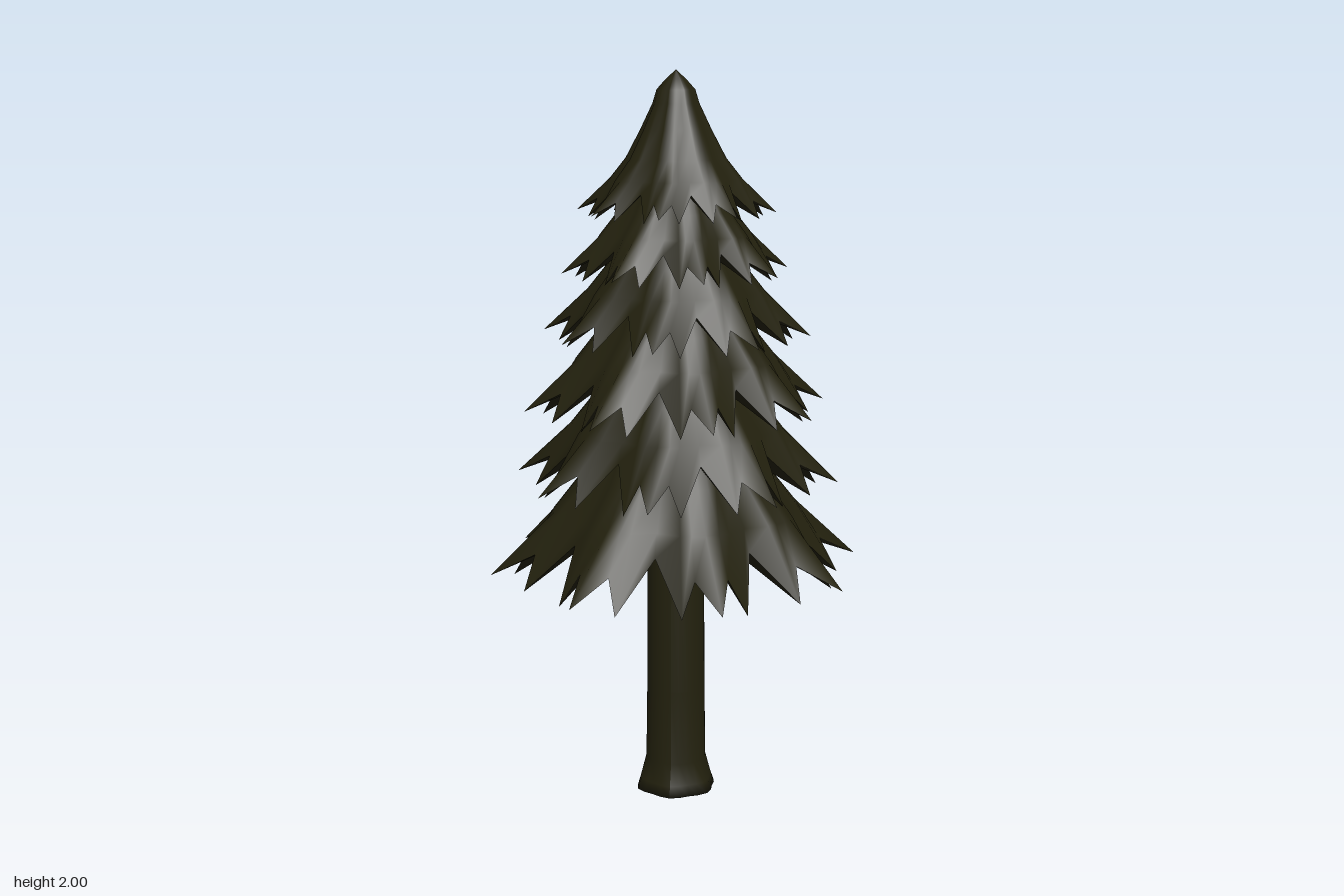
import * as THREE from 'three';

const darkOlive = new THREE.MeshStandardMaterial({ color: 0x23210e, side: THREE.DoubleSide });
darkOlive.name = 'darkOlive';

// Skirt slope as [radius, height above tip], both relative to the skirt radius
const SLOPE = [[0.2, 1.15], [0.35, 0.8], [0.5, 0.52], [0.66, 0.32]];
const CAP = [[0, 1.37], [0.1, 1.28], [0.19, 1.18], [0.23, 1.05], [0.35, 0.8], [0.5, 0.52], [0.66, 0.32]];
// Nearly flat underside, from behind the hem to the trunk
const UNDERSIDE = [[0.45, 0.21], [0.14, 0.24]];

// One eighth of the ragged hem: [degrees, radius, height, inward dip of the slope]
const HEM = [
  [0, 1, 0, 1],
  [6.25, 0.78, 0.12, 0.99],
  [11.25, 0.865, -0.05, 0.98],
  [22.5, 0.64, 0.2, 0.9],
  [33.75, 0.865, -0.05, 0.98],
  [38.75, 0.78, 0.12, 0.99],
];

// Smooth surface over closed rings of points
function ringSurface(rings) {
  const n = rings[0].length, index = [];
  for (let i = 0; i < rings.length - 1; i++) {
    for (let j = 0; j < n; j++) {
      const a = i * n + j, b = i * n + (j + 1) % n;
      index.push(a, b, a + n, b, b + n, a + n);
    }
  }
  const g = new THREE.BufferGeometry();
  g.setAttribute('position', new THREE.Float32BufferAttribute(rings.flat(2), 3));
  g.setIndex(index);
  g.computeVertexNormals();
  return g;
}

// One ring of a skirt: a slope row, or the ragged hem when row is null
function skirtRing(R, tipY, turn, row) {
  const ring = [];
  for (let k = 0; k < 8; k++) {
    for (const [deg, hr, hy, dip] of HEM) {
      const a = THREE.MathUtils.degToRad(-(k * 45 + deg + turn));
      const r = R * (row ? row[0] * THREE.MathUtils.lerp(1, dip, Math.min(1, row[0] / 0.5)) : hr);
      ring.push([r * Math.cos(a), tipY + R * (row ? row[1] : hy), r * Math.sin(a)]);
    }
  }
  return ring;
}

export function createModel() {
  const tree = new THREE.Group();
  tree.name = 'pineTree';
  const add = (geometry, name) => {
    const mesh = new THREE.Mesh(geometry, darkOlive);
    mesh.name = name;
    tree.add(mesh);
  };

  // Trunk with a flared, lumpy foot
  const profile = [[0, 0], [0.109, 0], [0.1, 0.03], [0.084, 0.09], [0.081, 0.3], [0.079, 0.65], [0.076, 0.8]]
    .map(([r, y]) => new THREE.Vector2(r, y));
  const trunk = new THREE.LatheGeometry(profile, 24);
  const p = trunk.attributes.position;
  for (let i = 0; i < p.count; i++) {
    const x = p.getX(i), z = p.getZ(i);
    const lump = 1 - 0.05 * Math.cos(6 * Math.atan2(z, x)) * Math.max(0, 1 - p.getY(i) / 0.1);
    p.setX(i, x * lump);
    p.setZ(i, z * lump);
  }
  trunk.computeVertexNormals();
  add(trunk, 'trunk');

  // Skirts from bottom to top, alternately turned by half a spike group
  const skirts = [[0.52, 0.65], [0.447, 0.9], [0.42, 1.1], [0.368, 1.3], [0.314, 1.47], [0.272, 1.63]];
  skirts.forEach(([R, y], i) => {
    const top = i === skirts.length - 1;
    const ring = (row) => skirtRing(R, y, i % 2 ? 0 : 22.5, row);
    const name = top ? 'treetop' : `branchSkirt${i + 1}`;
    add(ringSurface([...(top ? CAP : SLOPE), null].map(ring)), name);
    add(ringSurface([null, ...UNDERSIDE].map(ring)), `${name}Underside`);
  });
  return tree;
}
